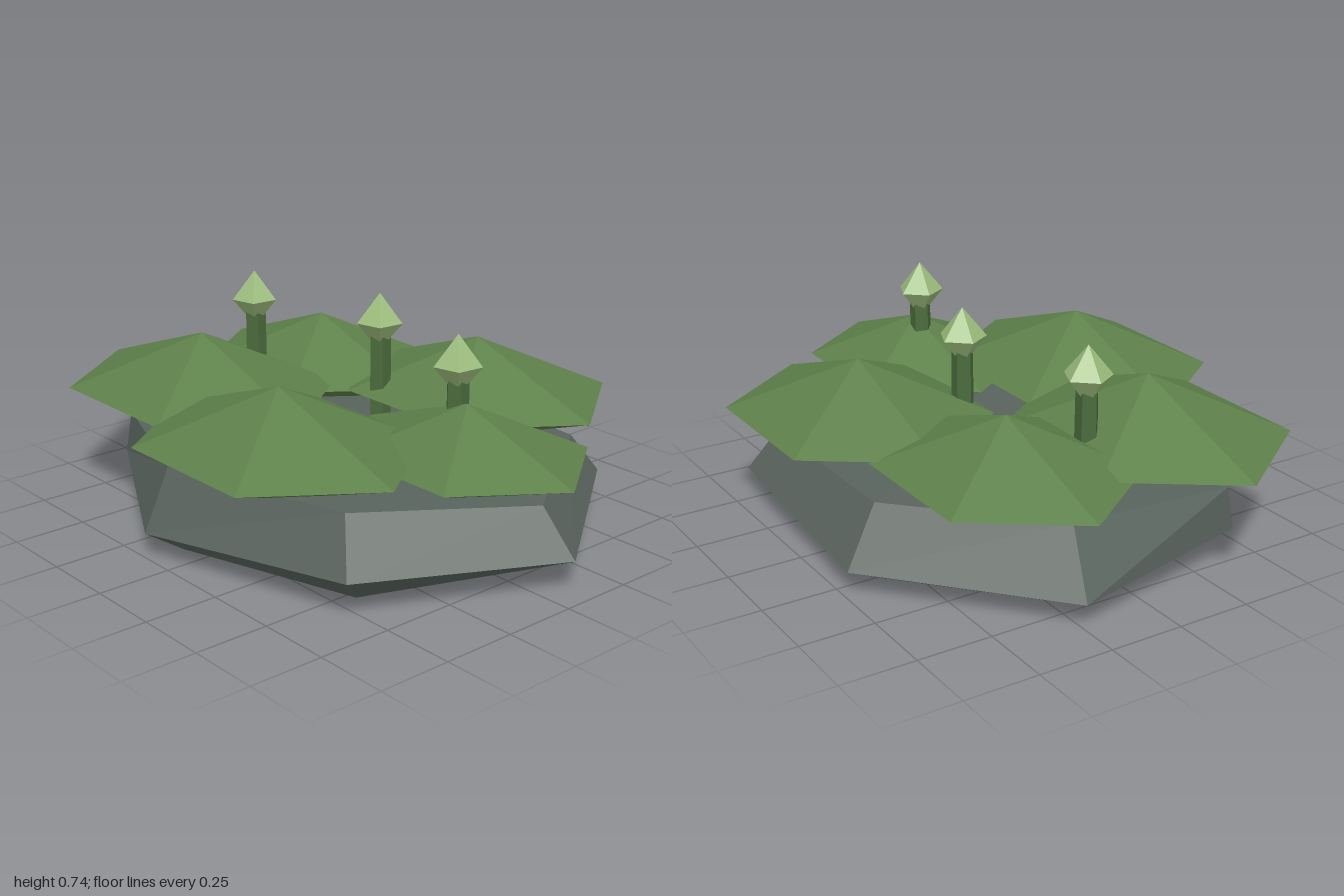
import * as THREE from 'three';

const mat = (color) => new THREE.MeshStandardMaterial({ color, flatShading: true });

// Faceted solid lofted through closed rings of [x, y, z], listed bottom to top
function loft(rings) {
  const n = rings[0].length;
  const index = [];
  for (let r = 0; r < rings.length - 1; r++) {
    for (let i = 0; i < n; i++) {
      const a = r * n + i, b = r * n + (i + 1) % n;
      if (r > 0) index.push(a, a + n, b);
      if (r < rings.length - 2) index.push(b, a + n, b + n);
    }
  }
  // the end rings are single points, so each gives one fan of triangles
  for (let i = 0; i < n; i++) index.push(i, n + i, n + (i + 1) % n);
  const geo = new THREE.BufferGeometry();
  geo.setAttribute('position', new THREE.Float32BufferAttribute(rings.flat(2), 3));
  geo.setIndex(index);
  const flat = geo.toNonIndexed();
  flat.computeVertexNormals();
  return flat;
}

// Bipyramid with the given number of sides
function bipyramid(sides, rx, ry, rz) {
  const geo = new THREE.SphereGeometry(1, sides, 2).scale(rx, ry, rz).toNonIndexed();
  geo.computeVertexNormals();
  return geo;
}

export function createModel() {
  const model = new THREE.Group();
  const rockMat = mat(0x59635d);
  const leafMat = mat(0x5d8049);
  const stemMat = mat(0x4a6b3c);
  const budMat = mat(0x9cbc7c);

  const add = (parent, name, geo, material, x = 0, y = 0, z = 0) => {
    const mesh = new THREE.Mesh(geo, material);
    mesh.name = name;
    mesh.position.set(x, y, z);
    parent.add(mesh);
    return mesh;
  };

  // Seven-sided boulder: flat foot, wide waist, narrower shoulder
  const point = (y) => Array.from({ length: 7 }, () => [0, y, 0]);
  const foot = [[0.69, 0, -0.06], [0.53, 0, 0.43], [-0.1, 0, 0.62], [-0.62, 0, 0.31],
    [-0.7, 0, -0.19], [-0.27, 0, -0.59], [0.4, 0, -0.53]];
  const waist = [[0.94, 0.105, -0.09], [0.65, 0.13, 0.57], [-0.12, 0.085, 0.75], [-0.74, 0.105, 0.41],
    [-0.875, 0.085, -0.25], [-0.31, 0.08, -0.74], [0.5, 0.115, -0.7]];
  const shoulder = [[0.81, 0.25, -0.08], [0.55, 0.3, 0.49], [-0.11, 0.295, 0.66], [-0.73, 0.25, 0.39],
    [-0.74, 0.285, -0.21], [-0.27, 0.27, -0.62], [0.45, 0.25, -0.61]];
  add(model, 'rock', loft([point(0), foot, waist, shoulder, point(0.31)]), rockMat);

  // Ring of five hexagonal foliage pads: x, y, z, radius
  const pads = new THREE.Group();
  pads.name = 'foliagePads';
  model.add(pads);
  [[0.555, 0.373, 0, 0.445], [0.16, 0.392, 0.425, 0.53], [-0.47, 0.39, 0.26, 0.53],
    [-0.465, 0.378, -0.27, 0.485], [0.16, 0.387, -0.44, 0.515]].forEach(([x, y, z, r], i) => {
    add(pads, `foliagePad${i + 1}`, bipyramid(6, r, r * 0.35, r * 0.81), leafMat, x, y, z);
  });

  // Three sprouts: a five-sided stem with a pointed bud
  [[-0.52, -0.01], [-0.01, -0.145], [0.5, -0.01]].forEach(([x, z], i) => {
    const sprout = new THREE.Group();
    sprout.name = `sprout${i + 1}`;
    sprout.position.set(x, 0, z);
    sprout.rotation.y = -0.1;
    add(sprout, 'stem', new THREE.CylinderGeometry(0.037, 0.04, 0.36, 5), stemMat, 0, 0.44, 0);
    add(sprout, 'bud', bipyramid(5, 0.08, 0.1, 0.08), budMat, 0, 0.638, 0);
    model.add(sprout);
  });

  return model;
}
